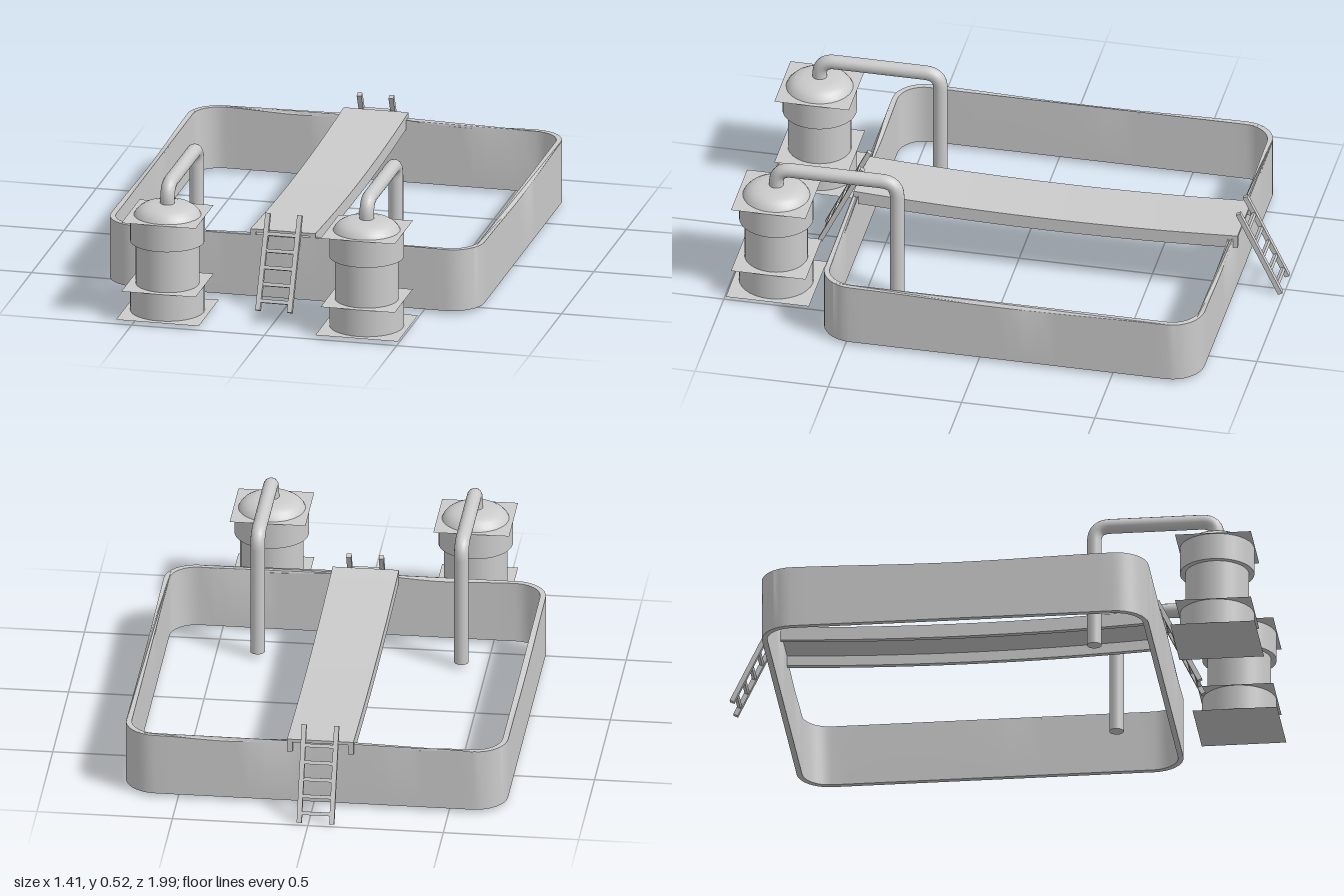
import * as THREE from 'three';
import { toCreasedNormals } from 'three/addons/utils/BufferGeometryUtils.js';

const material = new THREE.MeshStandardMaterial({ color: 0xcccccc, side: THREE.DoubleSide });
const POOL_Z = -0.11;
const BOARD_X = -0.027;

function add(parent, name, geometry, x = 0, y = 0, z = 0) {
  const mesh = new THREE.Mesh(geometry, material);
  mesh.name = name;
  mesh.position.set(x, y, z);
  parent.add(mesh);
  return mesh;
}

// Rounded rectangle outline with subdivided straight sides
function roundedOutline(hx, hz, r) {
  const points = [];
  const corners = [[1, 1], [-1, 1], [-1, -1], [1, -1]];
  corners.forEach(([sx, sz], i) => {
    for (let k = 0; k <= 8; k++) {
      const a = (i + k / 8) * Math.PI / 2;
      points.push(new THREE.Vector2(sx * (hx - r) + r * Math.cos(a), sz * (hz - r) + r * Math.sin(a)));
    }
    const [nx, nz] = corners[(i + 1) % 4];
    const a = (i + 1) * Math.PI / 2;
    const from = points[points.length - 1];
    const to = new THREE.Vector2(nx * (hx - r) + r * Math.cos(a), nz * (hz - r) + r * Math.sin(a));
    for (let k = 1; k < 20; k++) points.push(from.clone().lerp(to, k / 20));
  });
  return points;
}

// Open basin wall with a gently sagging rim
function wallGeometry() {
  const shape = new THREE.Shape(roundedOutline(0.705, 0.713, 0.12));
  shape.holes.push(new THREE.Path(roundedOutline(0.684, 0.693, 0.1)));
  const geo = new THREE.ExtrudeGeometry(shape, { depth: 1, bevelEnabled: false });
  geo.rotateX(-Math.PI / 2);
  const p = geo.attributes.position;
  for (let i = 0; i < p.count; i++) {
    const x = p.getX(i), z = p.getZ(i);
    let top = 0.252;
    if (Math.abs(z) > 0.65) {
      const t = Math.min(1, Math.abs(x) / 0.6);
      top += 0.008 * (1 - t) - 0.012 * Math.sin(Math.PI * t) ** 2;
    } else {
      top -= 0.01 * Math.cos(Math.PI * z / 1.3) ** 2;
    }
    p.setY(i, p.getY(i) > 0.5 ? top : 0.016);
  }
  return toCreasedNormals(geo, 0.6);
}

// Box running along z that sags in the middle
function saggingBeam(width, height) {
  const geo = new THREE.BoxGeometry(width, height, 1.44, 1, 1, 24);
  const p = geo.attributes.position;
  for (let i = 0; i < p.count; i++) {
    p.setY(i, p.getY(i) - 0.021 * (1 - (p.getZ(i) / 0.72) ** 2));
  }
  geo.computeVertexNormals();
  return geo;
}

function makeWalkway() {
  const group = new THREE.Group();
  group.name = 'walkway';
  add(group, 'walkwayDeck', saggingBeam(0.245, 0.012), BOARD_X, 0.268, -0.12);
  for (const s of [-1, 1]) {
    add(group, 'walkwayEdgeBeam', saggingBeam(0.02, 0.04), BOARD_X + s * 0.1125, 0.243, -0.12);
  }
  return group;
}

// Ladder leaning towards the wall; dir is +1 at the front, -1 at the back
function makeLadder(name, dir, footZ) {
  const group = new THREE.Group();
  group.name = name;
  const run = 0.158, rise = 0.325;
  const tilt = -dir * Math.atan2(run, rise);
  for (const s of [-1, 1]) {
    const rail = add(group, 'ladderRail', new THREE.BoxGeometry(0.018, Math.hypot(run, rise), 0.018),
      BOARD_X + s * 0.06, 0.17, footZ - dir * run / 2);
    rail.rotation.x = tilt;
  }
  for (let i = 0; i < 5; i++) {
    const y = 0.04 + i * 0.056;
    const rung = add(group, 'ladderRung', new THREE.BoxGeometry(0.11, 0.013, 0.013),
      BOARD_X, y, footZ - dir * run * (y - 0.008) / rise);
    rung.rotation.x = tilt;
  }
  return group;
}

function makeTank(x) {
  const group = new THREE.Group();
  group.name = 'filterTank';
  group.position.set(x, 0, 0.836);

  // Drum with two wider bands
  const drum = (name, r, y0, y1) =>
    add(group, name, new THREE.CylinderGeometry(r, r, y1 - y0, 32), 0, (y0 + y1) / 2);
  drum('lowerBand', 0.137, 0.018, 0.121);
  drum('tankBody', 0.117, 0.121, 0.285);
  drum('upperBand', 0.137, 0.285, 0.386);

  // Shallow domed lid
  const lid = [[0.124, 0.386], [0.118, 0.398], [0.106, 0.411], [0.088, 0.422], [0.06, 0.429], [0, 0.432]]
    .map(([r, y]) => new THREE.Vector2(r, y));
  add(group, 'tankLid', new THREE.LatheGeometry(lid, 32));

  // Thin square plates
  for (const [half, y] of [[0.156, 0.017], [0.14, 0.122], [0.14, 0.387]]) {
    add(group, 'squarePlate', new THREE.PlaneGeometry(half * 2, half * 2).rotateX(-Math.PI / 2), 0, y);
  }

  // Pipe arching over the wall and down into the basin
  const v = (y, z) => new THREE.Vector3(0, y, z);
  const path = new THREE.CurvePath();
  path.add(new THREE.LineCurve3(v(0.41, 0), v(0.44, 0)));
  path.add(new THREE.QuadraticBezierCurve3(v(0.44, 0), v(0.498, 0), v(0.498, -0.058)));
  path.add(new THREE.LineCurve3(v(0.498, -0.058), v(0.498, -0.395)));
  path.add(new THREE.QuadraticBezierCurve3(v(0.498, -0.395), v(0.498, -0.453), v(0.44, -0.453)));
  path.add(new THREE.LineCurve3(v(0.44, -0.453), v(0.02, -0.453)));
  add(group, 'returnPipe', new THREE.TubeGeometry(path, 100, 0.027, 16));
  add(group, 'pipeEnd', new THREE.CircleGeometry(0.027, 16).rotateX(Math.PI / 2), 0, 0.02, -0.453);
  return group;
}

export function createModel() {
  const model = new THREE.Group();
  model.name = 'poolWithFilters';
  add(model, 'poolWall', wallGeometry(), 0, 0, POOL_Z);
  model.add(makeWalkway());
  model.add(makeLadder('frontLadder', 1, 0.738));
  model.add(makeLadder('backLadder', -1, -0.988));
  for (const x of [-0.405, 0.347]) model.add(makeTank(x));
  return model;
}
